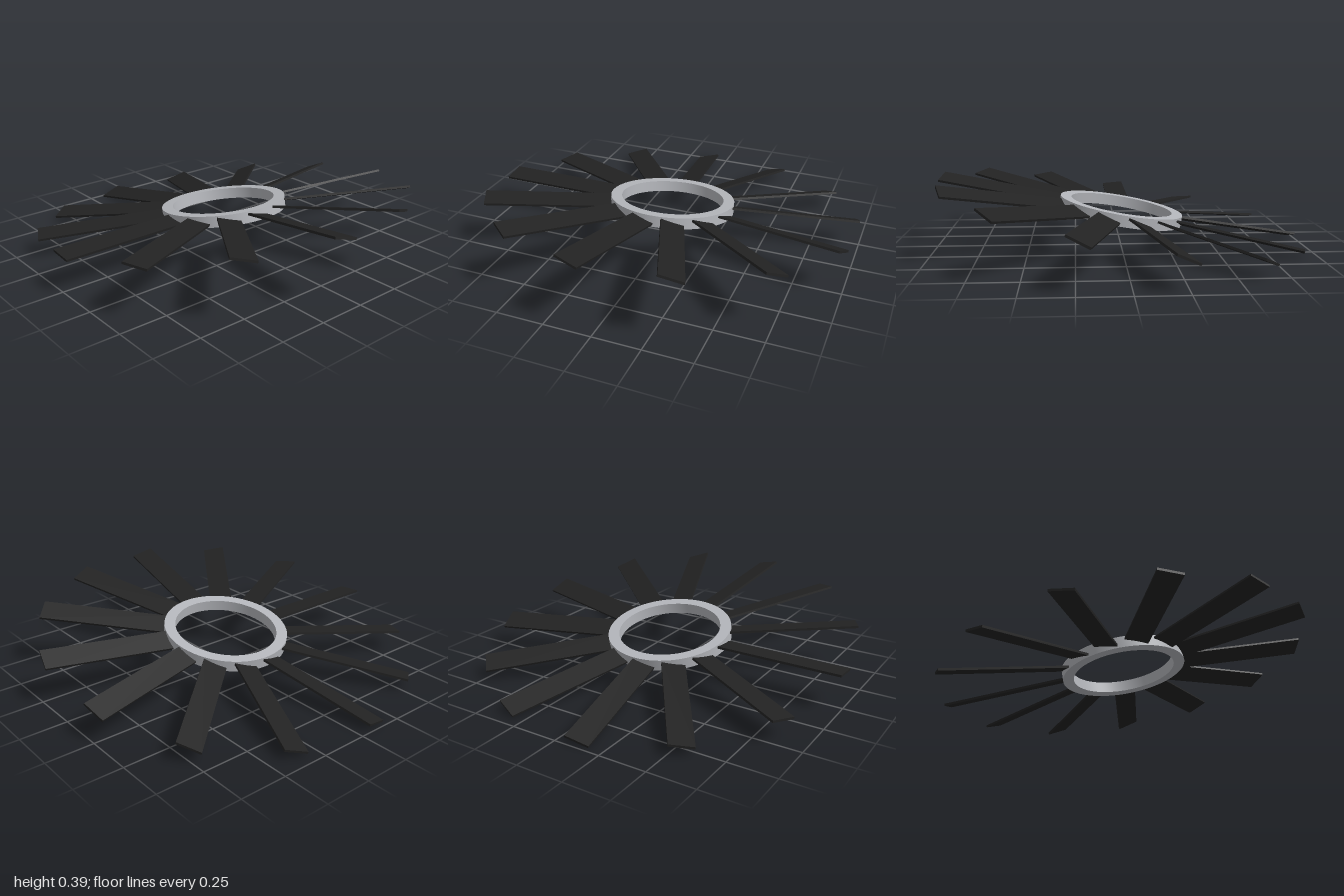
import * as THREE from 'three';
import { toCreasedNormals } from 'three/addons/utils/BufferGeometryUtils.js';

const BLADES = 13;
const TIP = 1.007, ROOT = 0.315;                  // blade radii
const OUTER = 0.337, INNER = 0.278, HEIGHT = 0.06; // hub ring
const TILT = THREE.MathUtils.degToRad(10);
const PITCH = THREE.MathUtils.degToRad(15);

export function createModel() {
  const silver = new THREE.MeshStandardMaterial({ name: 'silverGrey', color: 0xb4b6bb });
  const black = new THREE.MeshStandardMaterial({ name: 'bladeBlack', color: 0x222222 });

  const model = new THREE.Group();
  model.name = 'bladedRotor';

  // The whole rotor leans, front edge high
  const rotor = new THREE.Group();
  rotor.name = 'rotor';
  rotor.position.set(0.007, 0.197, 0);
  rotor.rotation.x = -TILT;
  model.add(rotor);

  // Hub ring with a rectangular section
  const h = HEIGHT / 2;
  const section = [[INNER, -h], [OUTER, -h], [OUTER, h], [INNER, h], [INNER, -h]]
    .map(([r, y]) => new THREE.Vector2(r, y));
  const ring = new THREE.Mesh(
    toCreasedNormals(new THREE.LatheGeometry(section, 96), Math.PI / 6), silver);
  ring.name = 'hubRing';
  rotor.add(ring);

  // Flat pitched blades, evenly spaced around the ring
  const bladeGeometry = new THREE.BoxGeometry(TIP - ROOT, 0.012, 0.125);
  for (let i = 0; i < BLADES; i++) {
    const spoke = new THREE.Group();
    spoke.name = `bladeMount${i + 1}`;
    spoke.rotation.y = Math.PI + (i * Math.PI * 2) / BLADES;
    const blade = new THREE.Mesh(bladeGeometry, black);
    blade.name = `blade${i + 1}`;
    blade.position.x = (TIP + ROOT) / 2;
    blade.rotation.x = -PITCH;
    spoke.add(blade);
    rotor.add(spoke);
  }

  return model;
}
